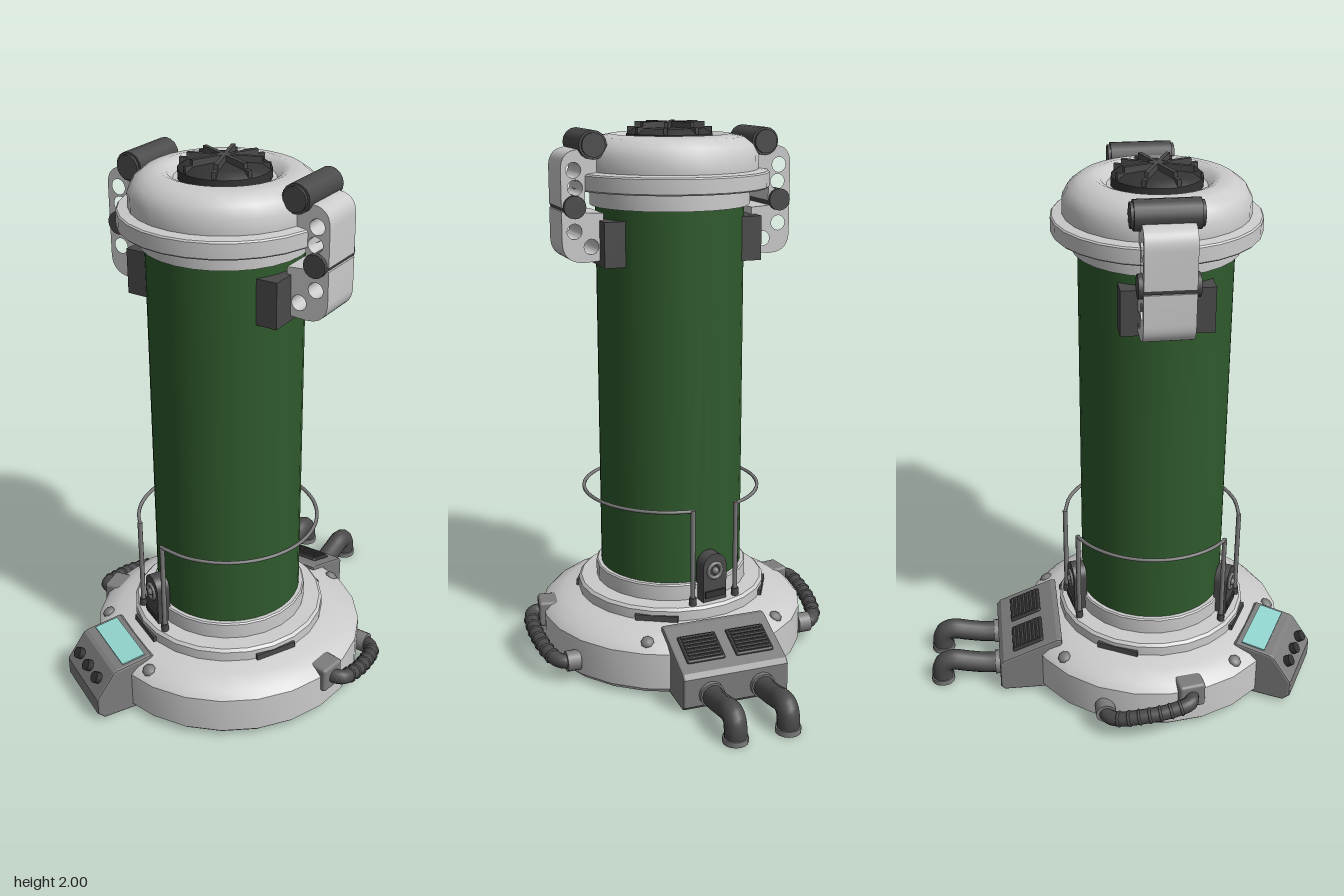
import * as THREE from 'three';
import { toCreasedNormals } from 'three/addons/utils/BufferGeometryUtils.js';
import { RoundedBoxGeometry } from 'three/addons/geometries/RoundedBoxGeometry.js';

const mat = (color) => new THREE.MeshStandardMaterial({ color });
const light = mat(0xcccccc), grey = mat(0x7c7c7c), dark = mat(0x4a4a4a), black = mat(0x333333);
const green = mat(0x2f5a2c), teal = mat(0x93d6cf);
const rad = THREE.MathUtils.degToRad;
const V = (x, y, z) => new THREE.Vector3(x, y, z);

function add(parent, name, geometry, material, x = 0, y = 0, z = 0) {
  const m = new THREE.Mesh(geometry, material);
  m.name = name;
  m.position.set(x, y, z);
  parent.add(m);
  return m;
}

function group(parent, name) {
  const g = new THREE.Group();
  g.name = name;
  parent.add(g);
  return g;
}

// group whose local +z points outward at an angle from the front
function radial(parent, name, deg) {
  const g = group(parent, name);
  g.rotation.y = rad(deg);
  return g;
}

const lathe = (pts, sides) =>
  toCreasedNormals(new THREE.LatheGeometry(pts.map((p) => new THREE.Vector2(...p)), sides), 0.6);

const polygon = (pts) => new THREE.Shape(pts.map((p) => new THREE.Vector2(...p)));

// side profile (outward, up) swept across a width, with small bevels
function housing(pts, width) {
  const b = 0.008;
  const g = new THREE.ExtrudeGeometry(polygon(pts), {
    depth: width - 2 * b, bevelThickness: b, bevelSize: b, bevelOffset: -b, bevelSegments: 2 });
  g.translate(0, 0, b - width / 2);
  return g.rotateY(-Math.PI / 2);
}

const tube = (pts, r, n = 32, sides = 12) =>
  new THREE.TubeGeometry(new THREE.CatmullRomCurve3(pts), n, r, sides);

const rod = (r, len, sides = 16) => new THREE.CylinderGeometry(r, r, len, sides);

function buildTank(core) {
  add(core, 'base', lathe([[0.001, 0.01], [0.485, 0.01], [0.505, 0.03], [0.505, 0.165], [0.48, 0.19],
    [0.42, 0.215], [0.35, 0.23]], 24), light);
  add(core, 'baseRing', lathe([[0.34, 0.2], [0.36, 0.225], [0.36, 0.265], [0.35, 0.275], [0.29, 0.278],
    [0.29, 0.335], [0.285, 0.34], [0.26, 0.34]], 24), light);
  add(core, 'glassCylinder', new THREE.CylinderGeometry(0.27, 0.27, 1.4, 40, 1, true), green, 0, 1.025);
  add(core, 'lid', lathe([[0.26, 1.71], [0.29, 1.71], [0.29, 1.77], [0.355, 1.77], [0.36, 1.775],
    [0.36, 1.825], [0.355, 1.83], [0.32, 1.835], [0.32, 1.885], [0.3, 1.922], [0.265, 1.948], [0.215, 1.958],
    [0.19, 1.948], [0.17, 1.925], [0.001, 1.925]], 28), light);

  // slots under the base ring
  for (let i = 0; i < 4; i++) {
    add(radial(core, 'ringSlot', -28 + 90 * i), 'slot', new THREE.BoxGeometry(0.16, 0.022, 0.04), dark, 0, 0.238, 0.342);
  }
  // bolts on the sloped rim of the base
  for (const a of [-55, -5.5, 150, 218]) {
    const bolt = add(radial(core, 'rimBolt', a), 'bolt', new THREE.SphereGeometry(0.025, 8, 6), grey, 0, 0.194, 0.466);
    bolt.scale.y = 0.6;
    bolt.rotation.x = 0.5;
  }
}

function buildVent(core) {
  const vent = group(core, 'topVent');
  add(vent, 'ventDisc', lathe([[0.155, 1.92], [0.155, 1.958], [0.125, 1.978], [0.001, 1.98]], 24), black);
  for (let i = 0; i < 8; i++) {
    const rib = radial(vent, 'ventRib', i * 45 + 20);
    add(rib, 'rib', new THREE.BoxGeometry(0.014, 0.03, 0.125), dark, 0, 1.985, 0.0625);
    add(rib, 'ribEnd', new THREE.BoxGeometry(0.014, 0.025, 0.03), dark, 0, 1.97, 0.136);
  }
}

// hinged clamp in two perforated halves, for side s (+1 or -1)
function buildClamp(core, s) {
  const clamp = group(core, s > 0 ? 'leftClamp' : 'rightClamp');
  clamp.position.z = -0.015;
  const half = (name, shape, holes) => {
    for (const [x, y] of holes) shape.holes.push(new THREE.Path().absarc(s * x, y, 0.027, 0, Math.PI * 2, true));
    const g = new THREE.ExtrudeGeometry(shape, { depth: 0.17, bevelEnabled: false, curveSegments: 10 });
    add(clamp, name, toCreasedNormals(g.translate(0, 0, -0.085), 0.6), light);
  };
  const upper = new THREE.Shape();
  upper.moveTo(s * 0.345, 1.718);
  upper.lineTo(s * 0.43, 1.718);
  upper.lineTo(s * 0.43, 1.845);
  upper.quadraticCurveTo(s * 0.43, 1.915, s * 0.36, 1.915);
  upper.lineTo(s * 0.28, 1.915);
  upper.lineTo(s * 0.28, 1.8);
  upper.lineTo(s * 0.345, 1.8);
  half('clampUpper', upper, [[0.385, 1.845], [0.38, 1.785]]);

  const lower = new THREE.Shape();
  lower.moveTo(s * 0.28, 1.53);
  lower.lineTo(s * 0.35, 1.525);
  lower.quadraticCurveTo(s * 0.43, 1.525, s * 0.43, 1.6);
  lower.lineTo(s * 0.43, 1.705);
  lower.lineTo(s * 0.28, 1.695);
  half('clampLower', lower, [[0.385, 1.635], [0.325, 1.58]]);

  const along = (name, r, len, x, y) => {
    add(clamp, name, rod(r, len), dark, s * x, y, 0).rotation.x = Math.PI / 2;
  };
  along('hingePin', 0.04, 0.2, 0.385, 1.72);
  along('gripTube', 0.05, 0.215, 0.32, 1.93);
  along('gripTubeCore', 0.042, 0.235, 0.32, 1.93);
  add(clamp, 'clampMount', new THREE.BoxGeometry(0.09, 0.16, 0.316), dark, s * 0.25, 1.59, 0.015);
}

function buildRail(core) {
  const rail = group(core, 'guardRail'), r = 0.332;
  for (const [from, to] of [[-12, 174.6], [206.6, 316]]) {
    const pts = [];
    for (let i = 0; i <= 10; i++) {
      const a = rad(from + ((to - from) * i) / 10);
      pts.push(V(r * Math.sin(a), 0.64, r * Math.cos(a)));
    }
    add(rail, 'railWire', tube(pts, 0.007, 40, 6), grey);
    for (const a of [from, to]) {
      const post = radial(rail, 'railPost', a);
      add(post, 'post', rod(0.009, 0.375, 8), grey, 0, 0.457, r);
      add(post, 'postFoot', rod(0.014, 0.03, 8), dark, 0, 0.29, r);
    }
  }
  // upright plates between the posts, front and back
  for (const a of [-28, 190.6]) {
    const plate = radial(core, 'lockPlate', a);
    const shape = new THREE.Shape();
    shape.moveTo(-0.05, 0.27);
    shape.lineTo(0.05, 0.27);
    shape.lineTo(0.05, 0.41);
    shape.absarc(0, 0.41, 0.05, 0, Math.PI, false);
    add(plate, 'plate', new THREE.ExtrudeGeometry(shape, { depth: 0.05, bevelEnabled: false }), dark, 0, 0, 0.275);
    add(plate, 'plateRing', new THREE.TorusGeometry(0.028, 0.008, 6, 16), grey, 0, 0.395, 0.326);
    add(plate, 'plateKnob', new THREE.SphereGeometry(0.014, 10, 8), grey, 0, 0.395, 0.328);
    add(plate, 'plateFoot', new THREE.BoxGeometry(0.085, 0.025, 0.02), black, 0, 0.305, 0.322);
  }
}

function buildControlPanel(core) {
  const panel = radial(core, 'controlPanel', -28.5);
  add(panel, 'panelBody', housing([[0.38, 0.01], [0.595, 0.01], [0.62, 0.035], [0.62, 0.1], [0.55, 0.196],
    [0.535, 0.203], [0.4, 0.222], [0.38, 0.21]], 0.285), grey);
  const screen = add(panel, 'screen', new THREE.BoxGeometry(0.25, 0.012, 0.09), teal, 0, 0.212, 0.462);
  screen.rotation.x = 0.14;
  for (const x of [-0.08, 0, 0.08]) {
    const knob = add(panel, 'dial', rod(0.021, 0.035, 12), black, x, 0.15, 0.59);
    knob.rotation.x = 0.95;
  }
}

function buildPowerUnit(core) {
  const unit = radial(core, 'powerUnit', 180);
  unit.position.x = -0.03;
  add(unit, 'unitBody', housing([[0.37, 0.01], [0.595, 0.01], [0.61, 0.025], [0.61, 0.13], [0.595, 0.147],
    [0.39, 0.23], [0.37, 0.23]], 0.4), grey);
  for (const s of [-1, 1]) {
    // slatted grille on the slope
    const grille = group(unit, 'grille');
    grille.position.set(s * 0.093, 0.187, 0.498);
    grille.rotation.x = 0.385;
    add(grille, 'grilleFrame', new RoundedBoxGeometry(0.145, 0.016, 0.125, 2, 0.007), black);
    for (let i = 0; i < 7; i++) {
      add(grille, 'slat', new THREE.BoxGeometry(0.125, 0.01, 0.008), dark, 0, 0.008, -0.048 + i * 0.016);
    }
    // outlet hose that bends down to the floor
    const x = s * 0.097;
    add(unit, 'outletHose', tube([V(x, 0.065, 0.59), V(x, 0.067, 0.66), V(x, 0.08, 0.73), V(x, 0.092, 0.79),
      V(x, 0.08, 0.822), V(x, 0.05, 0.833), V(x, 0.01, 0.833)], 0.04), dark);
    add(unit, 'hoseCollar', rod(0.046, 0.025), grey, x, 0.066, 0.615).rotation.x = Math.PI / 2;
    add(unit, 'hoseMouth', rod(0.045, 0.02), grey, x, 0.012, 0.833);
  }
}

// curved side hose with bands, from a block near the front to a socket behind
function buildSideHose(root, s) {
  const g = group(root, s > 0 ? 'leftSideHose' : 'rightSideHose');
  const pts = [[0.49, 0.15, 0.215], [0.54, 0.148, 0.205], [0.556, 0.13, 0.13], [0.552, 0.11, 0.03],
    [0.53, 0.088, -0.06], [0.5, 0.08, -0.095], [0.45, 0.08, -0.1]].map(([x, y, z]) => V(s * x, y, z));
  add(g, 'hose', tube(pts, 0.027), dark);
  const curve = new THREE.CatmullRomCurve3(pts);
  for (let i = 0; i < 7; i++) {
    const t = 0.22 + i * 0.09;
    const band = add(g, 'hoseBand', new THREE.TorusGeometry(0.025, 0.006, 6, 14), dark);
    band.position.copy(curve.getPointAt(t));
    band.lookAt(band.position.clone().add(curve.getTangentAt(t)));
  }
  const block = add(g, 'hoseBlock', new RoundedBoxGeometry(0.09, 0.1, 0.1, 2, 0.012), grey, s * 0.47, 0.15, 0.21);
  block.rotation.y = -s * 0.17;
  const socket = add(g, 'hoseSocket', rod(0.038, 0.05), grey, s * 0.465, 0.08, -0.1);
  socket.rotation.z = Math.PI / 2;
}

export function createModel() {
  const root = new THREE.Group();
  root.name = 'containmentTank';
  const core = group(root, 'tank');
  core.position.z = 0.13;
  buildTank(core);
  buildVent(core);
  buildRail(core);
  buildControlPanel(core);
  buildPowerUnit(core);
  for (const s of [-1, 1]) {
    buildClamp(core, s);
    buildSideHose(root, s);
  }
  return root;
}
